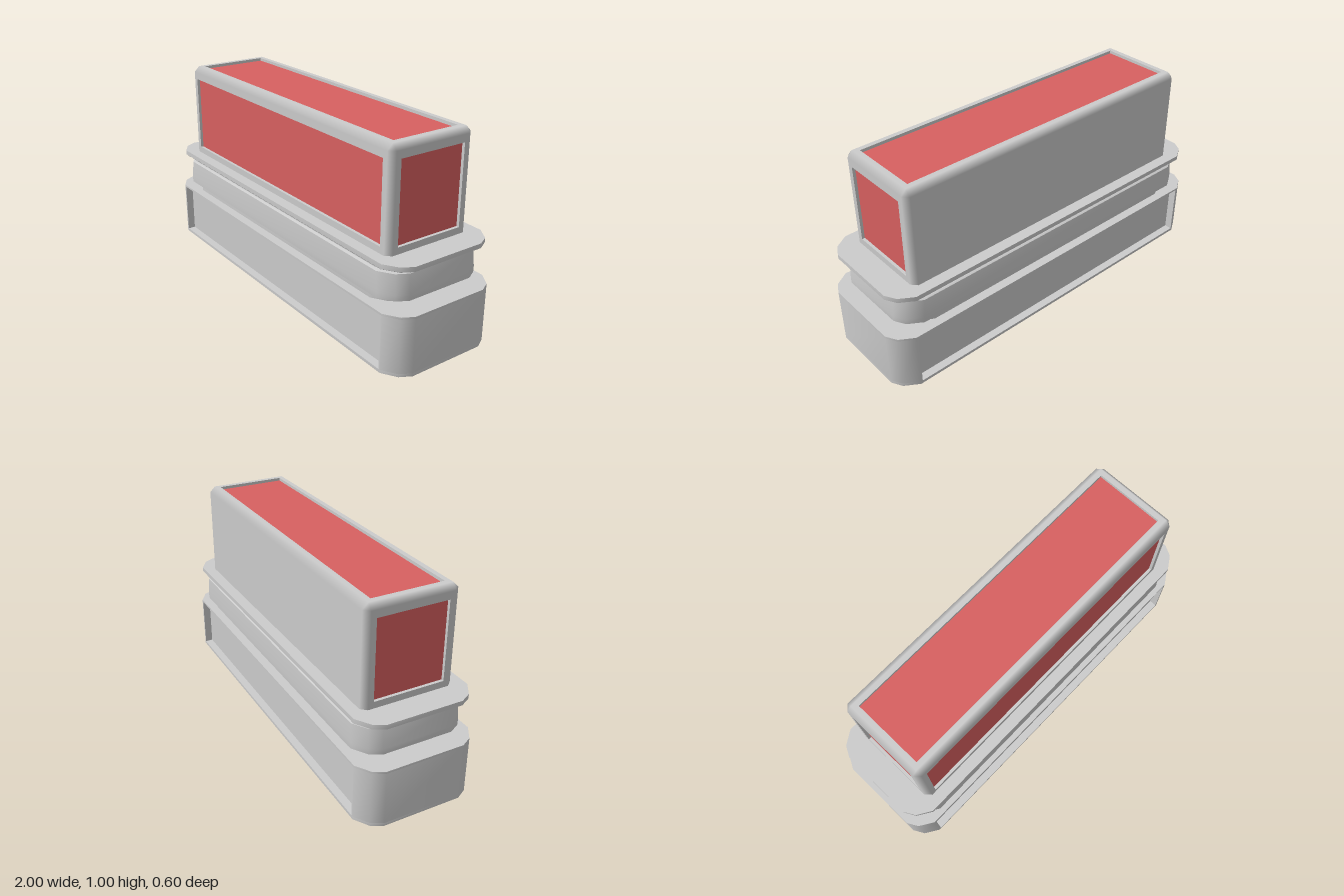
import * as THREE from 'three';
import { toCreasedNormals } from 'three/addons/utils/BufferGeometryUtils.js';

const grey = new THREE.MeshStandardMaterial({ color: 0xcccccc });
const red = new THREE.MeshStandardMaterial({ color: 0xd86060 });

function add(group, name, geometry, material = grey) {
  const mesh = new THREE.Mesh(geometry, material);
  mesh.name = name;
  group.add(mesh);
}

// Rectangle with faceted round corners; notch > 0 cuts shallow recesses in front and back
function plan(hx, hz, notch = 0) {
  const corner = [[0, 0.1], [0.03, 0.045], [0.1, 0]];
  const points = [];
  [[1, -1], [-1, -1], [-1, 1], [1, 1]].forEach(([sx, sz], i) => {
    const list = i % 2 ? [...corner].reverse() : corner;
    for (const [dx, dz] of list) points.push([sx * (hx - dx), sz * (hz - dz)]);
    if (notch && i % 2 === 0) {
      const x = sx * 0.89, z = sz * hz, zi = sz * (hz - notch);
      points.push([x, z], [x, zi], [-x, zi], [-x, z]);
    }
  });
  return points;
}

// Skin over rings [halfX, halfZ, y], bottom to top
function loft(rings, caps = true, notch = 0) {
  const pos = [], index = [];
  const n = plan(1, 1, notch).length;
  for (const [hx, hz, y] of rings) for (const [x, z] of plan(hx, hz, notch)) pos.push(x, y, z);
  for (let r = 0; r < rings.length - 1; r++) {
    for (let i = 0; i < n; i++) {
      const a = r * n + i, b = r * n + (i + 1) % n;
      index.push(a, b, b + n, a, b + n, a + n);
    }
  }
  if (caps) {
    const top = (rings.length - 1) * n;
    for (let i = 1; i < n - 1; i++) {
      index.push(0, i + 1, i);
      index.push(top, top + i, top + i + 1);
    }
  }
  const g = new THREE.BufferGeometry();
  g.setAttribute('position', new THREE.Float32BufferAttribute(pos, 3));
  g.setIndex(index);
  return toCreasedNormals(g, 0.7);
}

// Single-facet bevels of the upper housing, with normals blending between faces
function bevels(outer, inner, bottom, top, topInner) {
  const pos = [], nor = [];
  const point = (axis, sx, sz, low) => {
    const p = [sx * (axis === 0 ? outer[0] : inner[0]),
      low ? bottom : axis === 1 ? top : topInner,
      sz * (axis === 2 ? outer[1] : inner[1])];
    return { p, n: [axis === 0 ? sx : 0, axis === 1 ? 1 : 0, axis === 2 ? sz : 0] };
  };
  const tri = (a, b, c) => {
    const [A, B, C] = [a, b, c].map((v) => new THREE.Vector3(...v.p));
    const out = new THREE.Vector3(...a.n).add(new THREE.Vector3(...b.n)).add(new THREE.Vector3(...c.n));
    const flip = B.clone().sub(A).cross(C.clone().sub(A)).dot(out) < 0;
    for (const v of flip ? [a, c, b] : [a, b, c]) { pos.push(...v.p); nor.push(...v.n); }
  };
  const quad = (a, b, c, d) => { tri(a, b, c); tri(a, c, d); };
  for (const s of [-1, 1]) {
    quad(point(1, -1, s), point(1, 1, s), point(2, 1, s), point(2, -1, s));
    quad(point(1, s, -1), point(1, s, 1), point(0, s, 1), point(0, s, -1));
    for (const t of [-1, 1]) {
      quad(point(0, s, t), point(2, s, t), point(2, s, t, true), point(0, s, t, true));
      tri(point(0, s, t), point(1, s, t), point(2, s, t));
    }
  }
  const g = new THREE.BufferGeometry();
  g.setAttribute('position', new THREE.Float32BufferAttribute(pos, 3));
  g.setAttribute('normal', new THREE.Float32BufferAttribute(nor, 3));
  return g;
}

function rectangle(PathType, hx, y0, y1) {
  return new PathType([[-hx, y0], [hx, y0], [hx, y1], [-hx, y1]].map((p) => new THREE.Vector2(...p)));
}

// Flat frame around a sunken coloured window, facing +z at the given distance
function windowFace(name, size, hole, distance, turn) {
  const depth = 0.015;
  const group = new THREE.Group();
  group.name = name;
  const shape = rectangle(THREE.Shape, ...size);
  if (hole) shape.holes.push(rectangle(THREE.Path, ...hole));
  const frame = new THREE.ExtrudeGeometry(shape, { depth, bevelEnabled: false });
  add(group, name + 'Frame', turn(frame.translate(0, 0, distance - depth)));
  if (hole) {
    const pane = new THREE.ShapeGeometry(rectangle(THREE.Shape, ...hole));
    add(group, name + 'Pane', turn(pane.translate(0, 0, distance - depth)), red);
  }
  return group;
}

export function createModel() {
  const model = new THREE.Group();

  // Base: solid sole and lid with a recessed band between
  const base = new THREE.Group();
  base.name = 'base';
  add(base, 'baseSole', loft([[1, 0.298, 0], [1, 0.298, 0.015]]));
  add(base, 'baseBand', loft([[1, 0.298, 0.015], [1, 0.298, 0.283]], false, 0.04));
  add(base, 'baseLid', loft([[1, 0.298, 0.283], [1, 0.298, 0.293]]));
  model.add(base);

  // Neck, gasket and flange stacked above the base
  add(model, 'lowerNeck', loft([[0.865, 0.252, 0.29], [0.865, 0.252, 0.328]]));
  add(model, 'gasket', loft([[0.9, 0.262, 0.323], [0.935, 0.276, 0.331],
    [0.935, 0.277, 0.36], [0.925, 0.274, 0.455], [0.9, 0.264, 0.462]]));
  add(model, 'upperNeck', loft([[0.9, 0.262, 0.46], [0.9, 0.262, 0.487]]));
  add(model, 'flange', loft([[0.968, 0.285, 0.484], [0.975, 0.29, 0.489], [0.975, 0.29, 0.512]]));

  // Upper housing with windows on the front, top and both ends
  const housing = new THREE.Group();
  housing.name = 'housing';
  const bottom = 0.51, top = 1.005, shoulder = 0.977;
  add(housing, 'housingBevels', bevels([0.848, 0.233], [0.823, 0.205], bottom, top, shoulder));
  const longSide = [0.823, bottom, shoulder], endSide = [0.205, bottom, shoulder];
  housing.add(windowFace('frontWindow', longSide, [0.797, 0.545, 0.94], 0.233, (g) => g));
  housing.add(windowFace('backWall', longSide, null, 0.233, (g) => g.rotateY(Math.PI)));
  for (const [name, s] of [['leftWindow', 1], ['rightWindow', -1]]) {
    housing.add(windowFace(name, endSide, [0.178, 0.545, 0.94], 0.848, (g) => g.rotateY(s * Math.PI / 2)));
  }
  housing.add(windowFace('topWindow', [0.823, -0.205, 0.205], [0.797, -0.18, 0.18], top,
    (g) => g.rotateX(-Math.PI / 2)));
  model.add(housing);

  return model;
}
